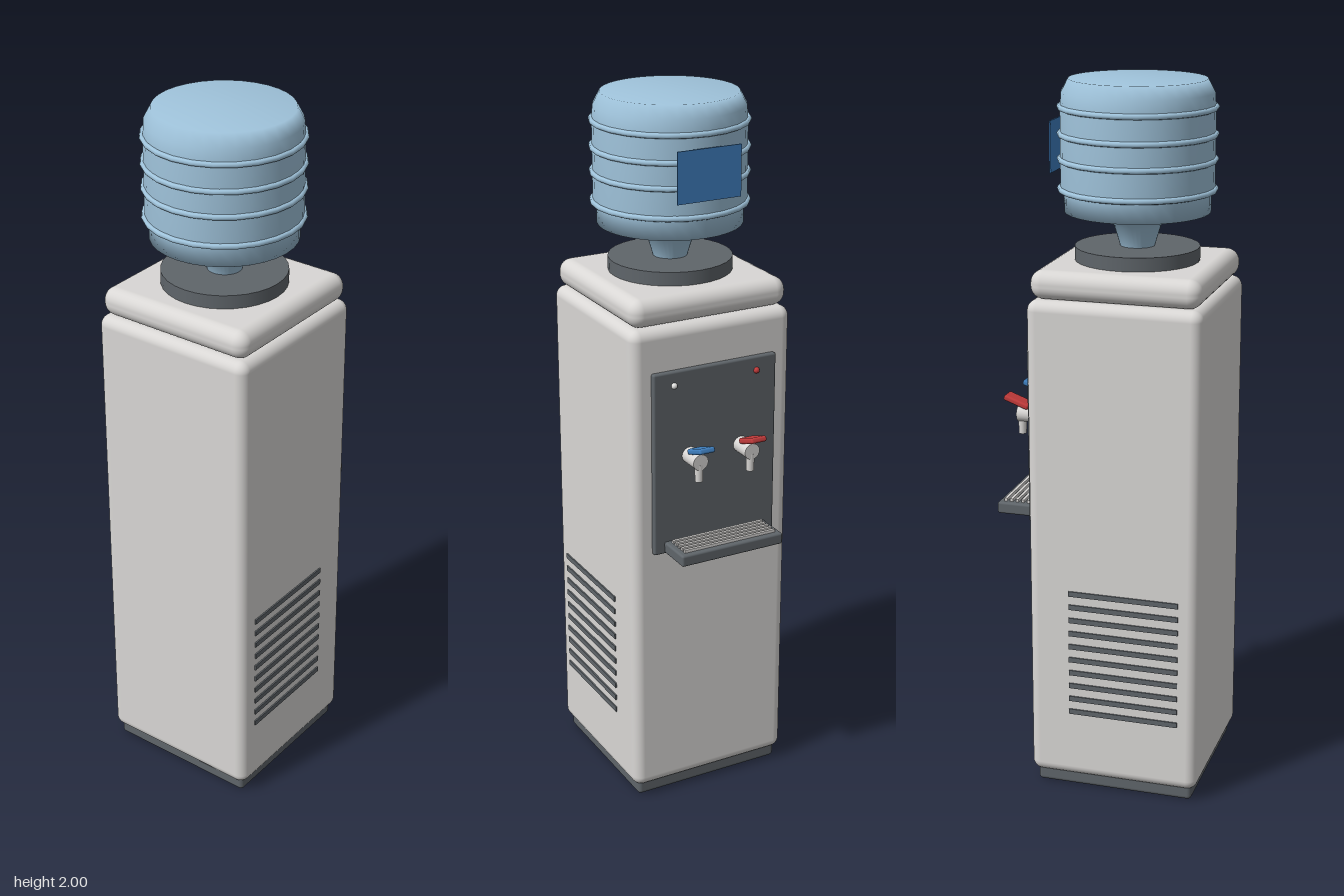
import * as THREE from 'three';
import { RoundedBoxGeometry } from 'three/addons/geometries/RoundedBoxGeometry.js';

const mat = (name, color) => {
  const m = new THREE.MeshStandardMaterial({ color });
  m.name = name;
  return m;
};

export function createModel() {
  const shell = mat('light shell', 0xd9d7d5);
  const dark = mat('dark plastic', 0x5f656a);
  const water = mat('bottle blue', 0xa0c4dc);
  const blue = mat('cold blue', 0x3f7fbf);
  const red = mat('hot red', 0xc23b3b);
  const white = mat('white light', 0xf2f2f0);

  const model = new THREE.Group();
  model.name = 'waterCooler';
  const CZ = 0.06; // cabinet and bottle axis

  const add = (name, geometry, material, x, y, z, parent = model) => {
    const mesh = new THREE.Mesh(geometry, material);
    mesh.name = name;
    mesh.position.set(x, y, z);
    parent.add(mesh);
    return mesh;
  };
  const rbox = (w, h, d, r) => new RoundedBoxGeometry(w, h, d, 4, r);

  // Cabinet
  add('base', rbox(0.456, 0.05, 0.456, 0.012), dark, 0, 0.025, CZ);
  add('cabinet', rbox(0.49, 1.395, 0.49, 0.03), shell, 0, 0.7325, CZ);
  add('lid', rbox(0.476, 0.08, 0.476, 0.036), shell, 0, 1.47, CZ);
  add('collar', new THREE.CylinderGeometry(0.172, 0.172, 0.045, 32), dark, 0, 1.5255, CZ);

  // Side vents
  for (const side of [-1, 1]) {
    const vents = new THREE.Group();
    vents.name = side > 0 ? 'leftVents' : 'rightVents';
    model.add(vents);
    for (let i = 0; i < 10; i++) {
      add('ventSlat', new THREE.BoxGeometry(0.008, 0.015, 0.316), dark,
        side * 0.245, 0.24 + i * 0.04, 0.092, vents);
    }
  }

  // Bottle: smooth profile with flat top, shoulder and neck
  const bottle = new THREE.Group();
  bottle.name = 'bottle';
  bottle.position.z = CZ;
  model.add(bottle);
  const profile = [
    [0.045, 1.54], [0.065, 1.605], [0.12, 1.643], [0.2, 1.643], [0.2, 1.69],
    [0.21, 1.71], [0.21, 1.92], [0.207, 1.965], [0.188, 2], [0, 2],
  ].map(([x, y]) => new THREE.Vector2(x, y));
  add('bottleBody', new THREE.LatheGeometry(profile, 32), water, 0, 0, 0, bottle);
  for (const y of [1.705, 1.785, 1.853, 1.925]) {
    const ring = add('bottleRib', new THREE.TorusGeometry(0.211, 0.008, 8, 24), water, 0, y, 0, bottle);
    ring.rotation.x = Math.PI / 2;
  }
  add('bottleLabel', new THREE.BoxGeometry(0.19, 0.14, 0.004), blue, 0, 1.82, -0.218, bottle);

  // Dispenser panel and drip tray
  add('panel', rbox(0.378, 0.53, 0.018, 0.006), dark, 0, 1.045, -0.191);
  add('dripTray', rbox(0.316, 0.033, 0.108, 0.006), dark, 0, 0.8, -0.251);
  for (let i = 0; i < 5; i++) {
    add('trayRib', new THREE.BoxGeometry(0.284, 0.01, 0.008), shell, 0, 0.82, -0.285 + i * 0.0168);
  }

  // Taps and indicator lights
  for (const [x, colour, light, name] of [[-1, red, red, 'hot'], [1, blue, white, 'cold']]) {
    const tap = new THREE.Group();
    tap.name = name + 'Tap';
    tap.position.set(x * 0.08, 0, 0);
    model.add(tap);
    const barrel = add('tapBarrel', new THREE.CylinderGeometry(0.023, 0.023, 0.066, 20), shell, 0, 1.062, -0.231, tap);
    barrel.rotation.x = Math.PI / 2;
    add('tapNozzle', new THREE.CylinderGeometry(0.012, 0.011, 0.05, 16), shell, 0, 1.029, -0.253, tap);
    const lever = add('tapLever', rbox(0.048, 0.016, 0.076, 0.006), colour, 0, 1.098, -0.265, tap);
    lever.rotation.x = 0.35;
    add(name + 'Light', new THREE.SphereGeometry(0.009, 16, 10), light, x * 0.127, 1.27, -0.2);
  }
  return model;
}
